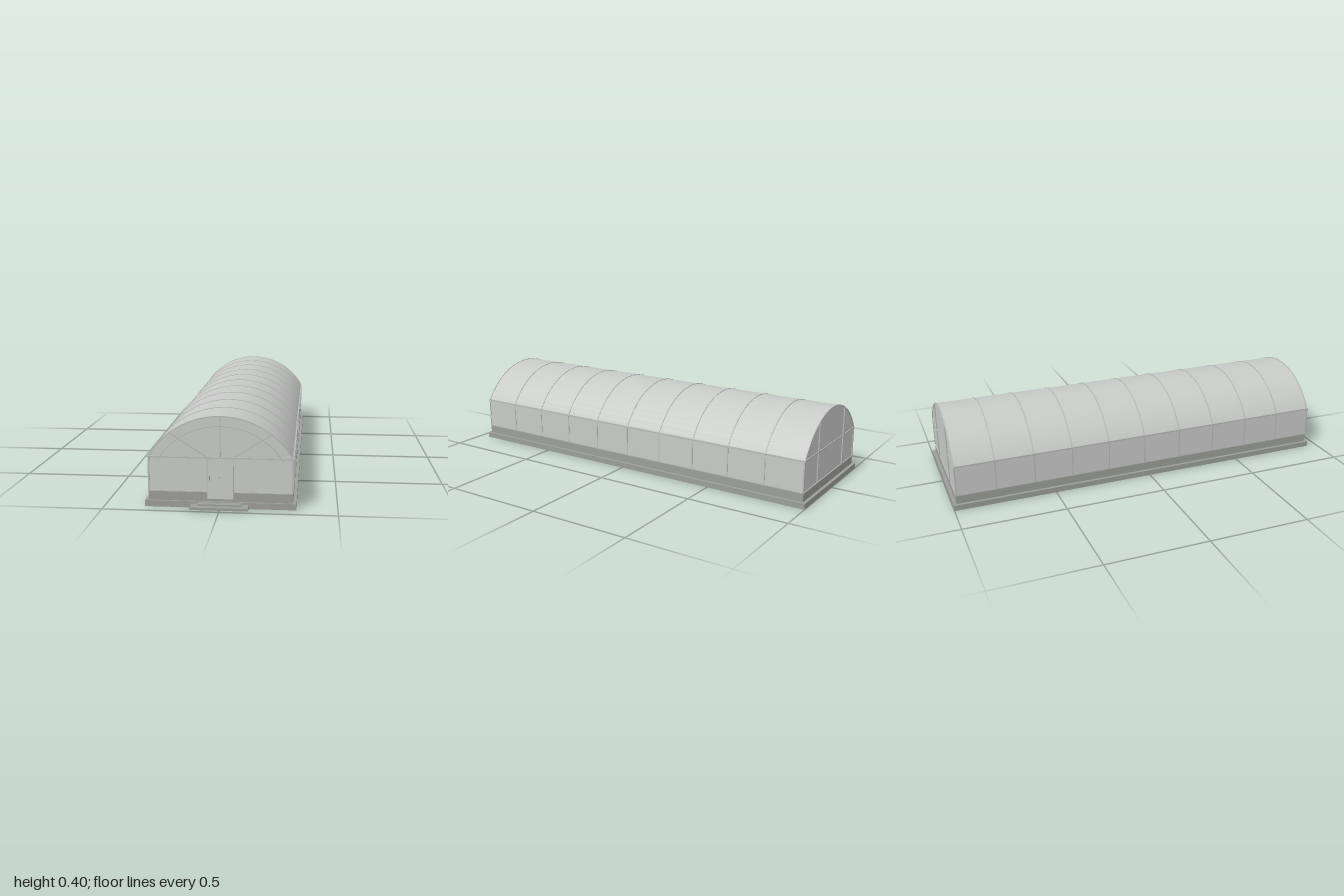
import * as THREE from 'three';

const HALF = 0.308, EAVE = 0.22, SILL = 0.068;      // half width, wall top, wall bottom
const FRONT = 0.935, BACK = -0.985, BAYS = 10;
const R = 0.355, CY = 0.043;                        // roof arc radius and centre height
const SPAN = Math.asin(HALF / R), LENGTH = FRONT - BACK, MID = (FRONT + BACK) / 2;

const glass = new THREE.MeshStandardMaterial({ name: 'glazing', color: 0xc8cac8, side: THREE.DoubleSide });
const frame = new THREE.MeshStandardMaterial({ name: 'frameMetal', color: 0xb9bbb9 });
const concrete = new THREE.MeshStandardMaterial({ name: 'concrete', color: 0x9c9e99 });
const metal = new THREE.MeshStandardMaterial({ name: 'handleMetal', color: 0x8a8c8a });

export function createModel() {
  const model = new THREE.Group();
  model.name = 'archedGreenhouse';

  const add = (name, geometry, material) => {
    const mesh = new THREE.Mesh(geometry, material);
    mesh.name = name;
    model.add(mesh);
    return mesh;
  };
  // Box given by its extents on each axis
  const box = (name, x0, x1, y0, y1, z0, z1, material) =>
    add(name, new THREE.BoxGeometry(x1 - x0, y1 - y0, z1 - z0), material)
      .position.set((x0 + x1) / 2, (y0 + y1) / 2, (z0 + z1) / 2);
  // Flat bar in the gable plane between two points
  const bar = (name, x0, y0, x1, y1, z, width = 0.005) => {
    const mesh = add(name, new THREE.BoxGeometry(width, Math.hypot(x1 - x0, y1 - y0), 0.006), frame);
    mesh.position.set((x0 + x1) / 2, (y0 + y1) / 2, z);
    mesh.rotation.z = Math.atan2(x0 - x1, y1 - y0);
  };
  // Curved band following a circular arc about (0, cy)
  const arch = (name, inner, outer, cy, span, z, depth) => {
    const shape = new THREE.Shape();
    shape.absarc(0, cy, outer, Math.PI / 2 - span, Math.PI / 2 + span, false);
    shape.absarc(0, cy, inner, Math.PI / 2 + span, Math.PI / 2 - span, true);
    const geometry = new THREE.ExtrudeGeometry(shape, { depth, bevelEnabled: false, curveSegments: 20 });
    add(name, geometry.translate(0, 0, z - depth / 2), frame);
  };
  const roofY = x => CY + Math.sqrt(R * R - x * x);

  // Foundation, plinth and entrance steps
  box('foundationSlab', -0.325, 0.325, 0, 0.027, -1, 0.945, concrete);
  box('plinth', -0.31, 0.31, 0.027, SILL, BACK, FRONT, concrete);
  box('lowerStep', -0.123, 0.123, 0.007, 0.018, 0.94, 1, concrete);
  box('upperStep', -0.092, 0.092, 0.018, 0.025, 0.94, 0.975, concrete);

  // Glazed vault
  const vault = new THREE.CylinderGeometry(R, R, LENGTH, 24, 1, true, -SPAN, 2 * SPAN);
  vault.rotateX(-Math.PI / 2);
  add('roofGlazing', vault, glass).position.set(0, CY, MID);

  // Gable walls, each one sheet with a curved top
  for (const [name, z] of [['frontGable', FRONT - 0.002], ['backGable', BACK + 0.002]]) {
    const shape = new THREE.Shape();
    shape.moveTo(-HALF, SILL);
    shape.lineTo(HALF, SILL);
    shape.absarc(0, CY, R, Math.PI / 2 - SPAN, Math.PI / 2 + SPAN, false);
    shape.closePath();
    add(name, new THREE.ShapeGeometry(shape, 24), glass).position.z = z;
  }

  // Side glazing with eave and sill rails
  for (const s of [-1, 1]) {
    const x = s * HALF;
    box('sideGlazing', x - 0.002, x + 0.002, SILL, EAVE, BACK, FRONT, glass);
    box('eaveRail', x - 0.005, x + 0.005, EAVE - 0.005, EAVE + 0.002, BACK, FRONT + 0.002, frame);
    box('sillRail', x - 0.003, x + 0.003, SILL - 0.001, SILL + 0.004, BACK, FRONT, frame);
  }

  // Ribs: an arch and two posts at every bay
  for (let i = 0; i <= BAYS; i++) {
    const z = BACK + 0.002 + (LENGTH - 0.004) * i / BAYS;
    arch('roofRib', R - 0.003, R + 0.002, CY, SPAN, z, 0.006);
    for (const s of [-1, 1]) {
      const x = s * HALF;
      box('sidePost', x - 0.004, x + 0.004, SILL, EAVE, z - 0.003, z + 0.003, frame);
    }
  }

  // Front gable framing: fan bars, inner arch and rails
  const zf = FRONT;
  box('frontEaveRail', -0.314, 0.314, 0.215, 0.222, zf - 0.003, zf + 0.003, frame);
  bar('centreMullion', 0, 0.222, 0, roofY(0), zf);
  arch('innerArch', 0.312, 0.316, 0.042, 1.02, zf, 0.006);
  for (const s of [-1, 1]) {
    bar('fanBar', s * 0.057, 0.222, s * 0.216, 0.323, zf);
    bar('doorPost', s * 0.056, 0.038, s * 0.056, EAVE, zf, 0.003);
    bar('frontSillRail', s * 0.056, SILL + 0.001, s * HALF, SILL + 0.001, zf, 0.004);
  }

  // Entrance door and its handle
  box('door', -0.055, 0.055, 0.038, 0.216, zf - 0.002, zf + 0.002, glass);
  box('doorHandle', -0.047, -0.044, 0.122, 0.14, zf + 0.002, zf + 0.007, metal);
  box('doorLatch', -0.005, -0.001, 0.131, 0.134, zf + 0.002, zf + 0.005, metal);

  // Back gable framing
  box('backEaveRail', -0.312, 0.312, 0.216, 0.222, BACK - 0.002, BACK + 0.004, frame);
  box('backSillRail', -HALF, HALF, SILL - 0.001, SILL + 0.003, BACK - 0.002, BACK + 0.004, frame);
  for (const s of [-1, 1]) bar('backMullion', s * 0.155, SILL, s * 0.155, roofY(0.155), BACK);

  return model;
}
